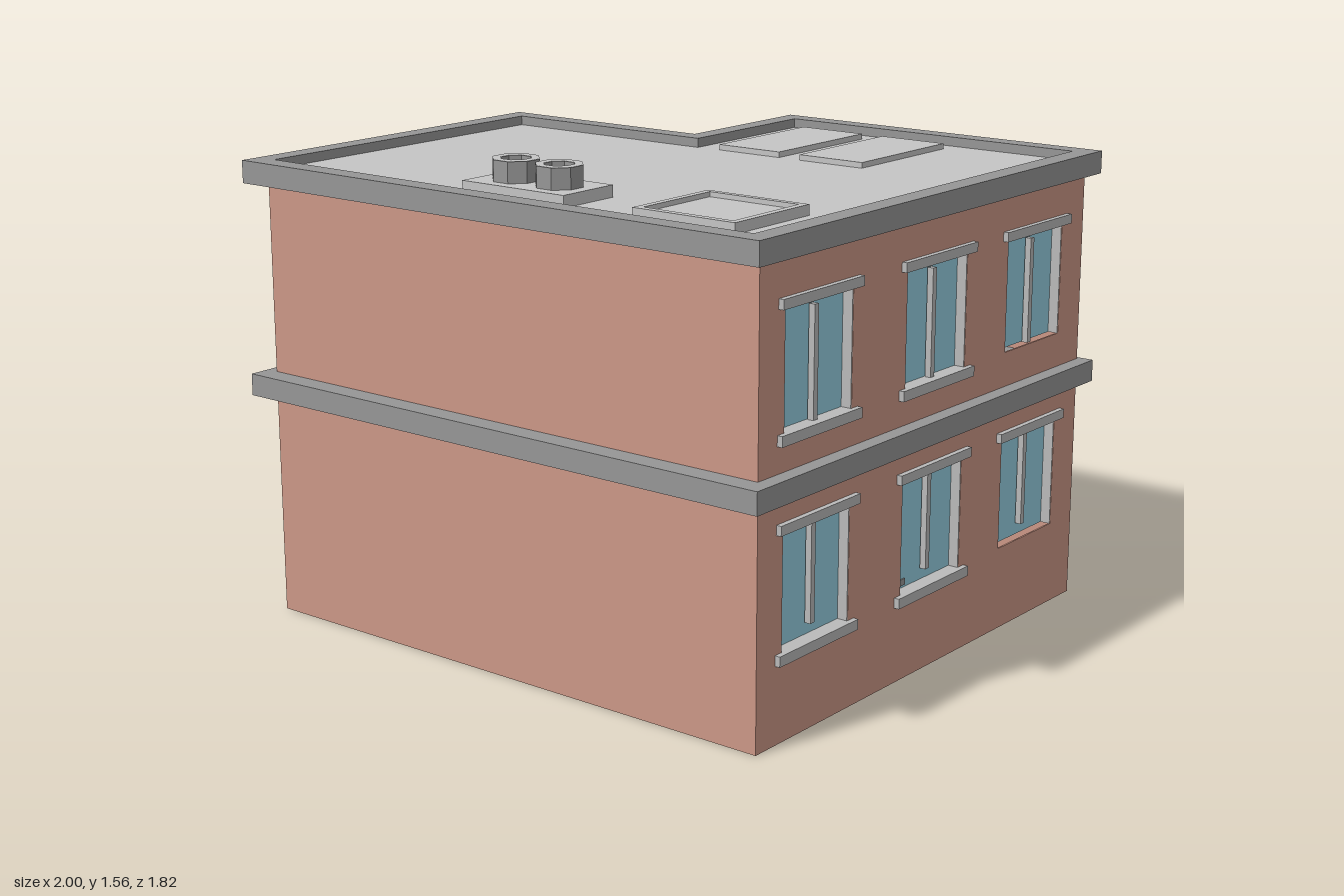
import * as THREE from 'three';
import { toCreasedNormals } from 'three/addons/utils/BufferGeometryUtils.js';

const mat = (name, color, side = THREE.FrontSide) => {
  const m = new THREE.MeshStandardMaterial({ color, side });
  m.name = name;
  return m;
};

export function createModel() {
  const brick = mat('brick', 0xcc9787);
  const trim = mat('trim grey', 0x969696);
  const light = mat('light grey', 0xc5c5c5);
  const stone = mat('sill stone', 0xbababa);
  const glass = mat('window glass', 0x96d0e2, THREE.DoubleSide);

  const building = new THREE.Group();
  building.name = 'building';

  const add = (parent, name, geometry, material) => {
    const m = new THREE.Mesh(geometry, material);
    m.name = name;
    parent.add(m);
    return m;
  };
  // Box given by its minimum and maximum on each axis
  const box = (parent, name, material, x0, x1, y0, y1, z0, z1) => {
    const m = add(parent, name, new THREE.BoxGeometry(x1 - x0, y1 - y0, z1 - z0), material);
    m.position.set((x0 + x1) / 2, (y0 + y1) / 2, (z0 + z1) / 2);
  };
  const outline = (points, Type) => new Type(points.map(p => new THREE.Vector2(...p)));
  const rect = (x0, x1, y0, y1, Type = THREE.Path) =>
    outline([[x0, y0], [x1, y0], [x1, y1], [x0, y1]], Type);

  // L-shaped plan: left, notch side, right, back, notch back, front
  const plan = (l, n, r, b, nb, f, Type = THREE.Shape) =>
    outline([[l, -f], [r, -f], [r, -b], [n, -b], [n, -nb], [l, -nb]], Type);
  const slab = (name, shape, material, y0, y1) => {
    const g = new THREE.ExtrudeGeometry(shape, { depth: y1 - y0, bevelEnabled: false });
    add(building, name, g.rotateX(-Math.PI / 2), material).position.y = y0;
  };

  // Floor band, parapet and roof deck
  slab('floorBand', plan(-1, -0.22, 1, -0.91, -0.41, 0.91), trim, 0.73, 0.8);
  const parapet = plan(-1, -0.22, 1, -0.91, -0.37, 0.91);
  parapet.holes.push(plan(-0.93, -0.155, 0.93, -0.845, -0.305, 0.84, THREE.Path));
  slab('parapet', parapet, trim, 1.413, 1.485);
  slab('roofDeck', plan(-0.94, -0.165, 0.94, -0.86, -0.32, 0.85), light, 1.418, 1.455);

  // Wall panel with openings; local +z points outward, outer face at z = 0.
  // A door is a notch [from, to, height] in the bottom edge.
  const T = 0.006, W = 0.163;
  const wall = (name, angle, x, z, a, b, holes, door) => {
    const g = new THREE.Group();
    g.name = name;
    g.position.set(x, 0, z);
    g.rotation.y = angle;
    building.add(g);
    const notch = door ? [[door[0], 0], [door[0], door[2]], [door[1], door[2]], [door[1], 0]] : [];
    const s = outline([[a, 0], ...notch, [b, 0], [b, 1.43], [a, 1.43]], THREE.Shape);
    for (const h of holes) s.holes.push(rect(...h));
    const geo = new THREE.ExtrudeGeometry(s, { depth: T, bevelEnabled: false });
    add(g, name + 'Panel', geo, brick).position.z = -T;
    return g;
  };
  const opening = (u, y) => [u - W, u + W, y, y + 0.36];

  // Lintel, sill, reveal, mullion and glass of one window
  const window = (g, u, y, { sill = true, pane = true } = {}) => {
    const w = new THREE.Group();
    w.name = 'window';
    w.position.set(u, y, 0);
    g.add(w);
    box(w, 'lintel', stone, -0.193, 0.193, 0.355, 0.385, -0.03, 0.017);
    if (sill) box(w, 'sill', stone, -0.193, 0.193, -0.03, 0.002, -0.04, 0.017);
    for (const s of [-1, 1]) {
      box(w, 'reveal', stone, s * W - 0.003, s * W + 0.003, 0, 0.36, -0.04, -0.001);
    }
    const lift = y < 0.5 ? 0.04 : 0;
    box(w, 'mullion', stone, -0.01, 0.01, lift, lift + 0.335, -0.03, -0.01);
    if (pane) {
      const p = add(w, 'pane', new THREE.PlaneGeometry(2 * W, 0.36), glass);
      p.position.set(0, 0.18, -0.034);
    }
  };
  const floors = [0.27, 0.91];
  const H = Math.PI / 2;

  // Blank front
  wall('frontWall', 0, 0, 0.84, -0.96, 0.95, []);

  // Right side, three windows on each floor
  const rightZ = [0.56, -0.04, -0.6];
  const right = wall('rightWall', H, 0.95, 0, -0.84, 0.895,
    floors.flatMap(y => rightZ.map(z => opening(-z, y))));
  for (const y of floors) for (const z of rightZ) window(right, -z, y, { sill: z > -0.5 });

  // Left side, two windows on each floor
  const leftZ = [0.56, -0.04];
  const left = wall('leftWall', -H, -0.96, 0, -0.33, 0.84,
    floors.flatMap(y => leftZ.map(z => opening(z, y))));
  for (const y of floors) for (const z of leftZ) window(left, z, y);

  // Back of the wing: open windows and a doorway
  const backWindows = [[-0.68, 0.27], [-0.68, 0.91], [-0.085, 0.91]];
  const doorway = [-0.085 - W, -0.085 + W, 0.63];
  const back = wall('backWall', Math.PI, 0, -0.895, -0.95, 0.18,
    backWindows.map(p => opening(...p)), doorway);
  for (const p of backWindows) window(back, ...p, { sill: false, pane: false });
  box(back, 'doorLintel', stone, -0.278, 0.108, 0.625, 0.655, -0.03, 0.017);
  for (const u of doorway.slice(0, 2)) {
    box(back, 'doorJamb', stone, u - 0.004, u + 0.004, 0, 0.63, -0.04, 0.002);
  }

  // Side of the wing facing the yard: one window above, a tall plate below
  const yard = wall('yardWall', -H, -0.18, 0, -0.895, -0.33, [opening(-0.6, 0.91)]);
  window(yard, -0.6, 0.91);
  box(yard, 'wallPlate', light, -0.77, -0.6, 0.17, 0.67, 0, 0.004);

  // Garage wall with sectional door, posts and a blank board above
  const garage = wall('garageWall', Math.PI, 0, -0.33, 0.18, 0.96, [[0.23, 0.84, 0.03, 0.69]]);
  for (let i = 0; i < 3; i++) {
    const y = 0.03 + i * 0.22;
    box(garage, 'doorSection', light, 0.23, 0.84, y, y + 0.217, -0.015, -0.004);
  }
  box(garage, 'doorBacking', light, 0.23, 0.84, 0.03, 0.69, -0.02, -0.01);
  for (const u of [0.2, 0.84, 0.93]) {
    box(garage, 'post', brick, u, u + 0.03, 0, 0.73, 0, 0.022);
  }
  box(garage, 'blankBoard', light, 0.2, 0.87, 1.13, 1.31, 0, 0.004);

  // Long shelves across the ground floor
  box(building, 'lowShelf', trim, -0.94, 0.92, 0.19, 0.21, 0.43, 0.7);
  box(building, 'highShelf', trim, -0.94, 0.92, 0.28, 0.3, 0.05, 0.22);

  // Flat roof panels
  for (const x of [-0.07, 0.25]) {
    box(building, 'roofPanel', light, x, x + 0.24, 1.45, 1.473, -0.78, -0.31);
  }

  // Skylight: raised rim around a sunken panel
  const rim = rect(0.45, 0.81, -0.765, -0.42, THREE.Shape);
  rim.holes.push(rect(0.472, 0.787, -0.742, -0.44));
  slab('skylightRim', rim, light, 1.45, 1.487);
  box(building, 'skylightPanel', light, 0.47, 0.79, 1.45, 1.472, 0.44, 0.745);

  // Twin eight-sided vents on a plinth
  box(building, 'ventPlinth', light, -0.195, 0.2, 1.45, 1.492, 0.55, 0.77);
  const profile = [[0.074, 0], [0.074, 0.066], [0.048, 0.066], [0.048, 0.025], [0, 0.025]]
    .map(p => new THREE.Vector2(...p));
  const ventGeo = toCreasedNormals(new THREE.LatheGeometry(profile, 8, Math.PI / 8), 0.3);
  const ringGeo = new THREE.RingGeometry(0.048, 0.074, 8, 1, Math.PI / 8).rotateX(-H);
  for (const x of [-0.077, 0.092]) {
    add(building, 'vent', ventGeo, trim).position.set(x, 1.491, 0.663);
    add(building, 'ventRing', ringGeo, light).position.set(x, 1.559, 0.663);
  }
  return building;
}
